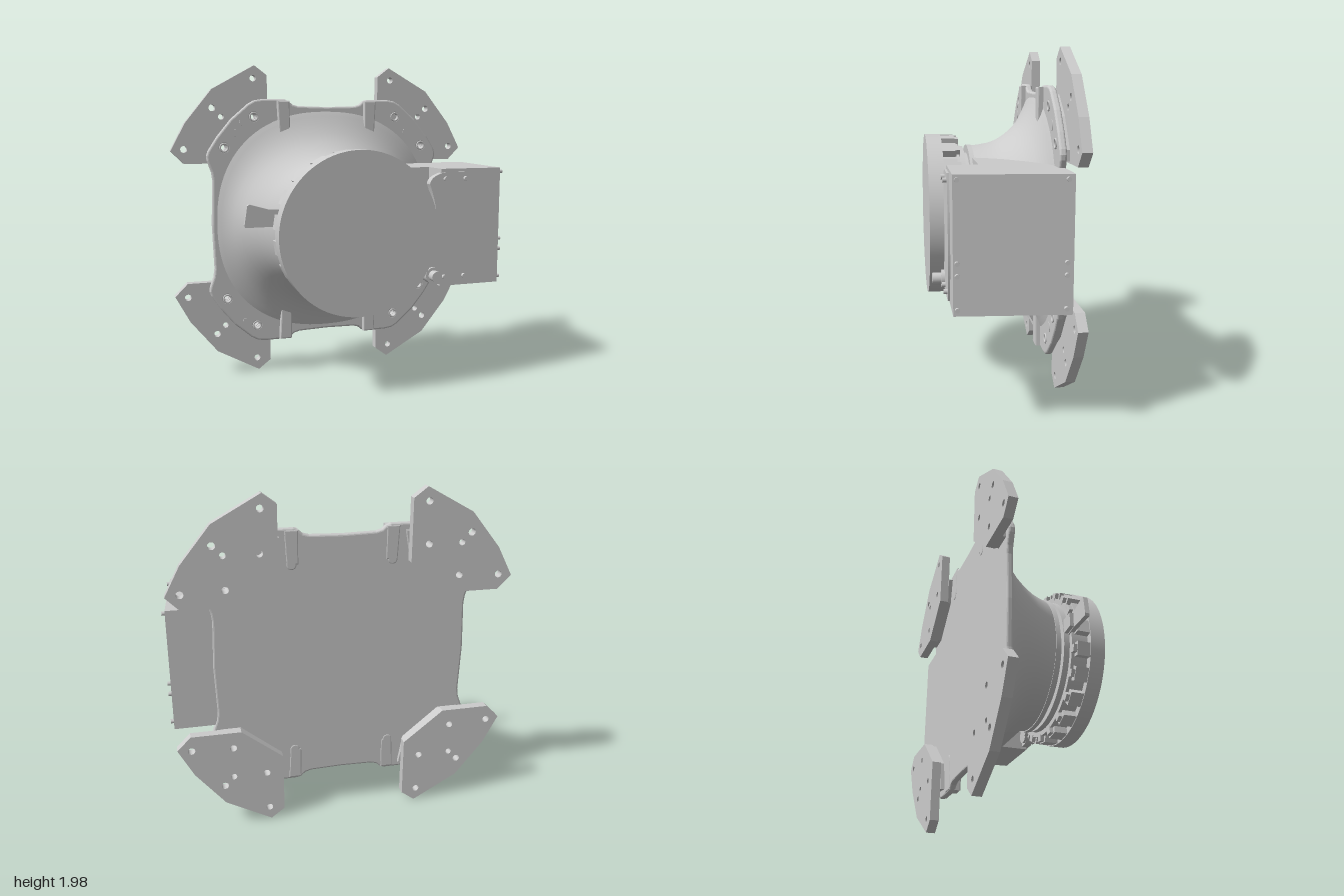
import * as THREE from 'three';

const mat = new THREE.MeshStandardMaterial({ color: 0xcccccc, side: THREE.DoubleSide });
const CORNERS = [[1, 1], [-1, 1], [-1, -1], [1, -1]];

export function createModel() {
  // all coordinates below are relative to the turning axis of the drum
  const model = new THREE.Group();
  model.position.set(-0.015, 0.99, 0);

  const add = (name, geo, x = 0, y = 0, z = 0) => {
    const m = new THREE.Mesh(geo, mat);
    m.name = name;
    m.position.set(x, y, z);
    model.add(m);
    return m;
  };
  const toShape = (pts, holes = []) => {
    const s = new THREE.Shape(pts.map(p => new THREE.Vector2(p[0], p[1])));
    for (const [x, y, r] of holes) s.holes.push(new THREE.Path().absarc(x, y, r, 0, Math.PI * 2, true));
    return s;
  };
  // flat plate between two depths, with an optional rounded rim
  const plate = (name, shape, z0, z1, bevel = 0) => add(name, new THREE.ExtrudeGeometry(shape, {
    depth: z1 - z0 - 2 * bevel, bevelEnabled: bevel > 0, bevelSize: bevel, bevelThickness: bevel,
    bevelOffset: -bevel, bevelSegments: 3, curveSegments: 24,
  }), 0, 0, z0 + bevel);
  // cylinder along z between two depths
  const disc = (name, r, z0, z1, x = 0, y = 0, seg = 24, r0 = r) =>
    add(name, new THREE.CylinderGeometry(r, r0, z1 - z0, seg).rotateX(Math.PI / 2), x, y, (z0 + z1) / 2);

  // mounting brackets, with the bosses they rest on
  const bracket = [[0.375, 0.93], [0.455, 0.99], [0.725, 0.84], [0.895, 0.63], [0.985, 0.46],
    [0.905, 0.38], [0.615, 0.38], [0.375, 0.57]];
  const bracketHoles = [[0.465, 0.91, 0.02], [0.725, 0.725, 0.021], [0.905, 0.47, 0.021],
    [0.67, 0.67, 0.018], [0.475, 0.67, 0.02], [0.665, 0.48, 0.02]];
  const boss = [[0.36, 0.74], [0.46, 0.73], [0.6, 0.62], [0.73, 0.45], [0.73, 0.39], [0.61, 0.39], [0.39, 0.57]];
  const flangeHoles = [[0.475, 0.67, 0.022], [0.665, 0.48, 0.022]];
  for (const [sx, sy] of CORNERS) {
    const flip = list => list.map(([x, y, r]) => [x * sx, y * sy, r]);
    plate('bracket', toShape(flip(bracket), flip(bracketHoles)), -0.39, -0.335);
    plate('bracketBoss', toShape(flip(boss), flip(flangeHoles)), -0.337, -0.305);
    for (const [x, y] of flip(flangeHoles)) {
      add('holeRim', new THREE.TorusGeometry(0.025, 0.006, 8, 24), x, y, -0.272);
    }
    // ribs rounded at the inner end
    const rib = new THREE.Shape();
    rib.moveTo(0.25, 0.77);
    rib.lineTo(0.25, 0.575);
    rib.absarc(0.29, 0.575, 0.03, Math.PI, Math.PI * 2, false);
    rib.lineTo(0.33, 0.77);
    plate('rib', toShape(flip(rib.getPoints(8).map(p => [p.x, p.y]))), -0.315, -0.24, 0.008);
  }

  // flange, one quarter of its outline mirrored twice
  const quarter = [[0.75, 0], [0.74, 0.28], [0.747, 0.33], [0.772, 0.4], [0.775, 0.43], [0.765, 0.46],
    [0.71, 0.545], [0.62, 0.655], [0.51, 0.75], [0.47, 0.772], [0.42, 0.78], [0.275, 0.78],
    [0.25, 0.77], [0.225, 0.748], [0.19, 0.738], [0, 0.733]];
  const outline = [];
  CORNERS.forEach(([sx, sy], i) => {
    const q = i % 2 ? [...quarter].reverse() : quarter;
    q.slice(0, -1).forEach(([x, y]) => outline.push([x * sx, y * sy]));
  });
  const allHoles = CORNERS.flatMap(([sx, sy]) => flangeHoles.map(([x, y, r]) => [x * sx, y * sy, r]));
  plate('flange', toShape(outline, allHoles), -0.312, -0.272, 0.012);

  // small plugs on the flange
  for (const [x, y, r] of [[-0.575, 0.57, 0.03], [-0.55, 0.635, 0.018], [0.565, 0.57, 0.03],
    [0.565, -0.57, 0.03], [-0.55, -0.635, 0.018]]) disc('plug', r, -0.29, -0.269, x, y);

  // flared housing: depth, half width, half height, roundness exponent
  const rings = [[-0.29, 0.745, 0.73, 2.35], [-0.275, 0.725, 0.71, 2.3], [-0.26, 0.695, 0.675, 2.2],
    [-0.235, 0.66, 0.63, 2.1], [-0.2, 0.625, 0.568, 2.05], [-0.15, 0.59, 0.515, 2],
    [-0.1, 0.555, 0.475, 2], [-0.05, 0.52, 0.446, 2], [0, 0.485, 0.428, 2],
    [0.06, 0.447, 0.418, 2], [0.115, 0.412, 0.412, 2]];
  const N = 96, pos = [], idx = [];
  rings.forEach(([z, rx, ry, n], i) => {
    for (let j = 0; j < N; j++) {
      const a = j / N * Math.PI * 2, c = Math.cos(a), s = Math.sin(a);
      pos.push(rx * Math.sign(c) * Math.abs(c) ** (2 / n), ry * Math.sign(s) * Math.abs(s) ** (2 / n), z);
      if (i < rings.length - 1) {
        const p = i * N + j, q = i * N + (j + 1) % N;
        idx.push(p, q, p + N, q, q + N, p + N);
      }
    }
  });
  const horn = new THREE.BufferGeometry();
  horn.setAttribute('position', new THREE.Float32BufferAttribute(pos, 3));
  horn.setIndex(idx);
  horn.computeVertexNormals();
  add('flaredHousing', horn);

  // neck
  disc('neckCollar', 0.418, 0.112, 0.14, 0, 0, 96);
  disc('neck', 0.37, 0.13, 0.18, 0, 0, 96);
  disc('neckRing', 0.41, 0.165, 0.21, 0, 0, 96);

  // drum with lugs around its rim
  disc('drumCore', 0.44, 0.2, 0.31, 0, 0, 96);
  disc('drumCap', 0.485, 0.3, 0.39, 0, 0, 128);
  for (let i = 0; i < 20; i++) {
    const a = (i + 0.5) / 20 * Math.PI * 2;
    const lug = new THREE.Group();
    lug.name = 'lug';
    lug.rotation.z = a;
    const body = new THREE.Mesh(new THREE.BoxGeometry(0.06, 0.085, 0.085), mat);
    body.position.set(0.449, 0, 0.262);
    const nub = new THREE.Mesh(new THREE.BoxGeometry(0.045, 0.045, 0.03), mat);
    nub.position.set(0.45, 0, 0.212);
    lug.add(body, nub);
    model.add(lug);
  }

  // lever
  plate('lever', toShape([[-0.38, 0.03], [-0.48, 0.045], [-0.638, 0.045], [-0.642, 0.06],
    [-0.625, 0.17], [-0.612, 0.178], [-0.5, 0.145], [-0.38, 0.14]]), 0.192, 0.22);
  plate('leverPad', toShape([[-0.4, 0.04], [-0.49, 0.05], [-0.49, 0.135], [-0.4, 0.13]]), 0.168, 0.2);

  // side box, extruded upward from its plan
  const plan = [[0.1, -0.305], [0.99, -0.305], [0.945, 0.3], [0.545, 0.3], [0.545, 0.125], [0.1, 0.125]];
  const box = new THREE.ExtrudeGeometry(toShape(plan.map(([x, z]) => [x, -z])),
    { depth: 0.72, bevelEnabled: false });
  add('sideBox', box.rotateX(-Math.PI / 2), 0, -0.36, 0);

  // front cover, concave along the drum and bowed on the far side
  const cover = new THREE.Shape();
  cover.moveTo(0.565, 0.34);
  cover.quadraticCurveTo(0.47, 0.32, 0.465, 0.27);
  cover.quadraticCurveTo(0.57, 0, 0.455, -0.25);
  cover.quadraticCurveTo(0.43, -0.34, 0.51, -0.345);
  cover.lineTo(0.73, -0.345);
  cover.quadraticCurveTo(0.83, 0, 0.73, 0.34);
  plate('frontCover', cover, 0.265, 0.312);
  disc('latchBase', 0.05, 0.25, 0.33, 0.49, -0.285, 32);
  disc('latchKnob', 0.033, 0.32, 0.38, 0.49, -0.285, 32);
  for (const x of [0.567, 0.7]) for (const y of [0.3, -0.3]) disc('coverScrew', 0.014, 0.3, 0.332, x, y, 16);

  // screws on the sloping end face
  for (const z of [0.28, -0.27]) for (const y of [0.335, -0.085, -0.15, -0.325]) {
    const x = 0.99 - (z + 0.305) * 0.074;
    add('endScrew', new THREE.CylinderGeometry(0.012, 0.012, 0.04, 12).rotateZ(Math.PI / 2), x, y, z);
  }
  return model;
}
